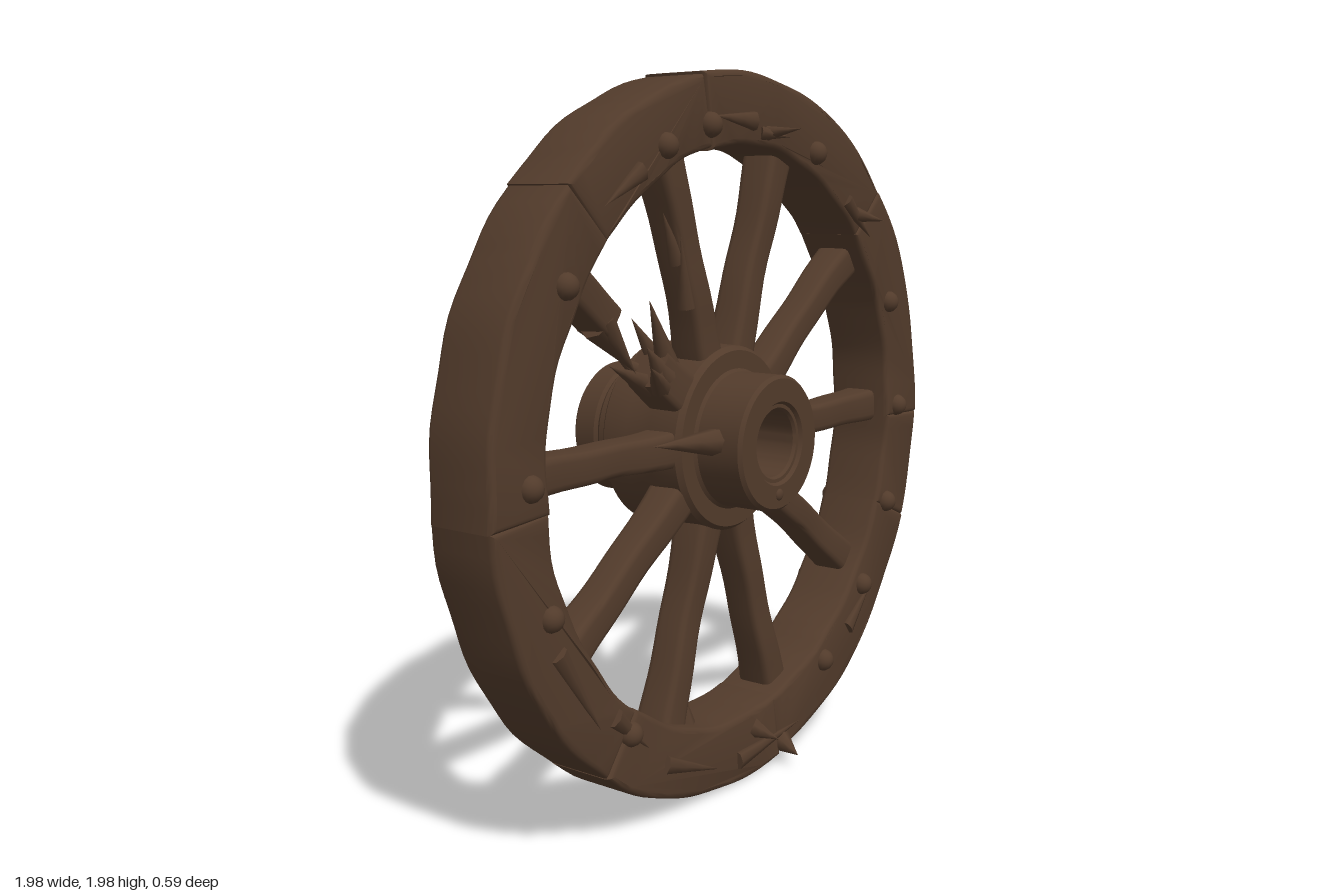
import * as THREE from 'three';
import { toCreasedNormals } from 'three/addons/utils/BufferGeometryUtils.js';

const RAD = Math.PI / 180;
const Z_BACK = -0.03, Z_FRONT = 0.175, Z_MID = 0.07;

export function createModel() {
  const model = new THREE.Group();
  const wheel = new THREE.Group();
  wheel.name = 'wheel';
  wheel.position.y = 1;
  model.add(wheel);
  const wood = new THREE.MeshStandardMaterial({ color: 0x523b2b });
  wood.name = 'darkWood';

  const add = (geometry, name, parent = wheel) => {
    const mesh = new THREE.Mesh(geometry, wood);
    mesh.name = name;
    parent.add(mesh);
    return mesh;
  };
  const group = (name) => {
    const g = new THREE.Group();
    g.name = name;
    wheel.add(g);
    return g;
  };
  // Smooth hand-hewn unevenness along an angle or length
  const wobble = (t, seed) => 0.6 * Math.sin(t * 9 + seed * 2.3) + 0.4 * Math.sin(t * 23 + seed * 5.1);

  // Worn rim segments with bevelled joints
  const rim = group('rim');
  const seams = [-22, -2, 43, 101, 136, 185, 233, 281, 338];
  const bevel = 0.016;
  for (let i = 0; i < seams.length - 1; i++) {
    const a0 = seams[i] * RAD + bevel * 0.9, a1 = seams[i + 1] * RAD - bevel * 0.9;
    const n = Math.ceil((a1 - a0) / (2.5 * RAD));
    const outer = [], inner = [];
    for (let k = 0; k <= n; k++) {
      const a = a0 + (a1 - a0) * k / n;
      const ro = 0.99 - bevel + 0.005 * wobble(a, i);
      const ri = 0.797 + bevel + 0.005 * wobble(a, i + 7);
      outer.push(new THREE.Vector2(ro * Math.cos(a), ro * Math.sin(a)));
      inner.unshift(new THREE.Vector2(ri * Math.cos(a), ri * Math.sin(a)));
    }
    const geo = new THREE.ExtrudeGeometry(new THREE.Shape([...outer, ...inner]), {
      depth: Z_FRONT - Z_BACK - 2 * bevel, bevelThickness: bevel, bevelSize: bevel, bevelSegments: 3,
    });
    geo.translate(0, 0, Z_BACK + bevel);
    const p = geo.attributes.position;
    for (let v = 0; v < p.count; v++) {
      const a = Math.atan2(p.getY(v), p.getX(v));
      p.setZ(v, p.getZ(v) + 0.004 * wobble(a, i + 3));
    }
    add(toCreasedNormals(geo, 0.7), 'rimSegment', rim);
  }

  // Hub turned around a through bore
  const hubProfile = [
    [0.092, -0.28], [0.102, -0.29], [0.178, -0.29], [0.187, -0.28], [0.187, -0.215], [0.18, -0.205],
    [0.187, -0.195], [0.187, -0.13], [0.245, -0.13], [0.257, -0.118], [0.26, -0.04], [0.252, 0],
    [0.26, 0.04], [0.257, 0.125], [0.245, 0.14], [0.195, 0.14], [0.187, 0.148], [0.187, 0.278],
    [0.178, 0.288], [0.115, 0.288], [0.108, 0.278], [0.098, 0.278], [0.092, 0.27], [0.092, -0.28],
  ].map(([r, y]) => new THREE.Vector2(r, y));
  const hub = new THREE.LatheGeometry(hubProfile, 64);
  hub.rotateX(Math.PI / 2);
  add(toCreasedNormals(hub, 0.6), 'hub');

  // Spoke: rounded bar, waisted along its length
  const spokeGeometry = (from, to, seed, width = 0.1, depth = 0.115) => {
    const w = width / 2, d = depth / 2, r = 0.022;
    const s = new THREE.Shape();
    s.moveTo(-d + r, -w).lineTo(d - r, -w).quadraticCurveTo(d, -w, d, -w + r);
    s.lineTo(d, w - r).quadraticCurveTo(d, w, d - r, w);
    s.lineTo(-d + r, w).quadraticCurveTo(-d, w, -d, w - r);
    s.lineTo(-d, -w + r).quadraticCurveTo(-d, -w, -d + r, -w);
    const geo = new THREE.ExtrudeGeometry(s, { depth: to - from, steps: 14, curveSegments: 3, bevelEnabled: false });
    geo.rotateY(Math.PI / 2);
    geo.translate(from, 0, Z_MID);
    const p = geo.attributes.position;
    for (let v = 0; v < p.count; v++) {
      const x = p.getX(v), u = (x - 0.22) / 0.6;
      const waist = 1 - 0.14 * Math.sin(Math.PI * THREE.MathUtils.clamp(u, 0, 1));
      p.setY(v, p.getY(v) * waist + 0.004 * wobble(x, seed));
      p.setZ(v, Z_MID + (p.getZ(v) - Z_MID) * waist + 0.004 * wobble(x, seed + 4));
    }
    return toCreasedNormals(geo, 0.7);
  };

  // Splinter: tapered sliver between two points
  const splinter = (a, b, radius, name, parent, flat = 1) => {
    const from = new THREE.Vector3(...a), to = new THREE.Vector3(...b);
    const dir = to.clone().sub(from);
    const geo = new THREE.ConeGeometry(radius, dir.length(), 7, 3);
    geo.translate(0, dir.length() / 2, 0);
    geo.scale(1, 1, flat);
    const mesh = add(geo, name, parent);
    mesh.position.copy(from);
    mesh.quaternion.setFromUnitVectors(new THREE.Vector3(0, 1, 0), dir.normalize());
    return mesh;
  };

  const spokes = group('spokes');
  for (let i = 0; i < 10; i++) {
    if (i === 4) continue;
    add(spokeGeometry(0.2, 0.82, i), 'spoke', spokes).rotation.z = i * 36 * RAD;
  }

  // Snapped spoke: a stub at each end with torn fibres
  const broken = group('brokenSpoke');
  broken.rotation.z = 144 * RAD;
  add(spokeGeometry(0.2, 0.37, 4, 0.12), 'innerStub', broken);
  add(spokeGeometry(0.6, 0.82, 5), 'outerStub', broken);
  const torn = [
    [[0.32, -0.035, 0.09], [0.5, -0.13, 0.1], 0.034], [[0.3, -0.04, 0.05], [0.47, -0.09, 0.04], 0.034],
    [[0.33, 0.0, 0.1], [0.45, -0.02, 0.11], 0.034], [[0.33, 0.03, 0.06], [0.52, 0.08, 0.08], 0.034],
    [[0.33, 0.03, 0.1], [0.47, 0.05, 0.17], 0.03], [[0.33, 0.0, 0.03], [0.44, 0.0, 0.0], 0.03],
    [[0.62, 0.02, 0.08], [0.43, 0.045, 0.09], 0.045], [[0.62, -0.02, 0.06], [0.5, -0.025, 0.05], 0.035],
    [[0.62, 0.01, 0.1], [0.47, 0.07, 0.13], 0.03], [[0.62, 0.01, 0.04], [0.45, 0.02, 0.03], 0.035],
  ];
  torn.forEach(([a, b, r]) => splinter(a, b, r, 'tornFibre', broken));

  // Loose splinters on spokes and rim face
  const splinters = group('splinters');
  [
    [[-0.2, 0.49, 0.09], [-0.27, 0.62, 0.1], 0.025], [[-0.17, 0.37, 0.1], [-0.22, 0.56, 0.12], 0.025],
    [[0.1, 0.83, 0.165], [0.11, 0.84, 0.275], 0.022], [[0.07, 0.83, 0.17], [0.14, 0.82, 0.22], 0.02],
    [[0.58, 0.61, 0.165], [0.57, 0.59, 0.275], 0.025], [[0.52, 0.65, 0.17], [0.63, 0.54, 0.195], 0.025],
    [[-0.45, 0.66, 0.1], [-0.62, 0.5, 0.15], 0.03], [[-0.18, -0.78, 0.1], [-0.19, -0.68, 0.1], 0.03],
    [[0.2, -0.93, 0.165], [0.17, -0.95, 0.25], 0.035], [[0.06, -0.85, 0.165], [0.09, -0.88, 0.235], 0.03],
    [[-0.17, 0.02, 0.2], [-0.38, 0.03, 0.15], 0.04],
  ].forEach(([a, b, r]) => splinter(a, b, r, 'splinter', splinters));

  // Peeling strips of grain lying on the front of the rim
  [[208, 226, 0.88], [228, 240, 0.85], [246, 262, 0.9], [268, 288, 0.92], [122, 133, 0.85], [88, 100, 0.86], [310, 322, 0.88]]
    .forEach(([a, b, r]) => {
      const at = (deg, k, z) => [k * Math.cos(deg * RAD), k * Math.sin(deg * RAD), z];
      splinter(at(a, r, 0.175), at(b, r + 0.02, 0.178), 0.028, 'peelingStrip', splinters, 0.7);
    });

  // Rivets on both faces
  const rivets = group('rivets');
  const rivetGeo = new THREE.SphereGeometry(0.034, 14, 6, 0, Math.PI * 2, 0, Math.PI / 2);
  rivetGeo.rotateX(Math.PI / 2);
  const angles = [0, 23, 66, 101, 114, 148, 180, 202, 234, 300, 320, 339];
  for (const deg of angles) {
    for (const side of [1, -1]) {
      const rivet = add(rivetGeo, side > 0 ? 'frontRivet' : 'backRivet', rivets);
      rivet.position.set(0.858 * Math.cos(deg * RAD), 0.858 * Math.sin(deg * RAD), side > 0 ? Z_FRONT - 0.004 : Z_BACK + 0.004);
      if (side < 0) rivet.rotation.y = Math.PI;
    }
  }

  // Small pins on the hub ends
  for (const side of [1, -1]) {
    const pin = add(rivetGeo, 'hubPin');
    pin.scale.set(0.5, 0.5, 0.3);
    pin.position.set(0, -0.14, side * 0.286);
    if (side < 0) pin.rotation.y = Math.PI;
  }

  return model;
}
